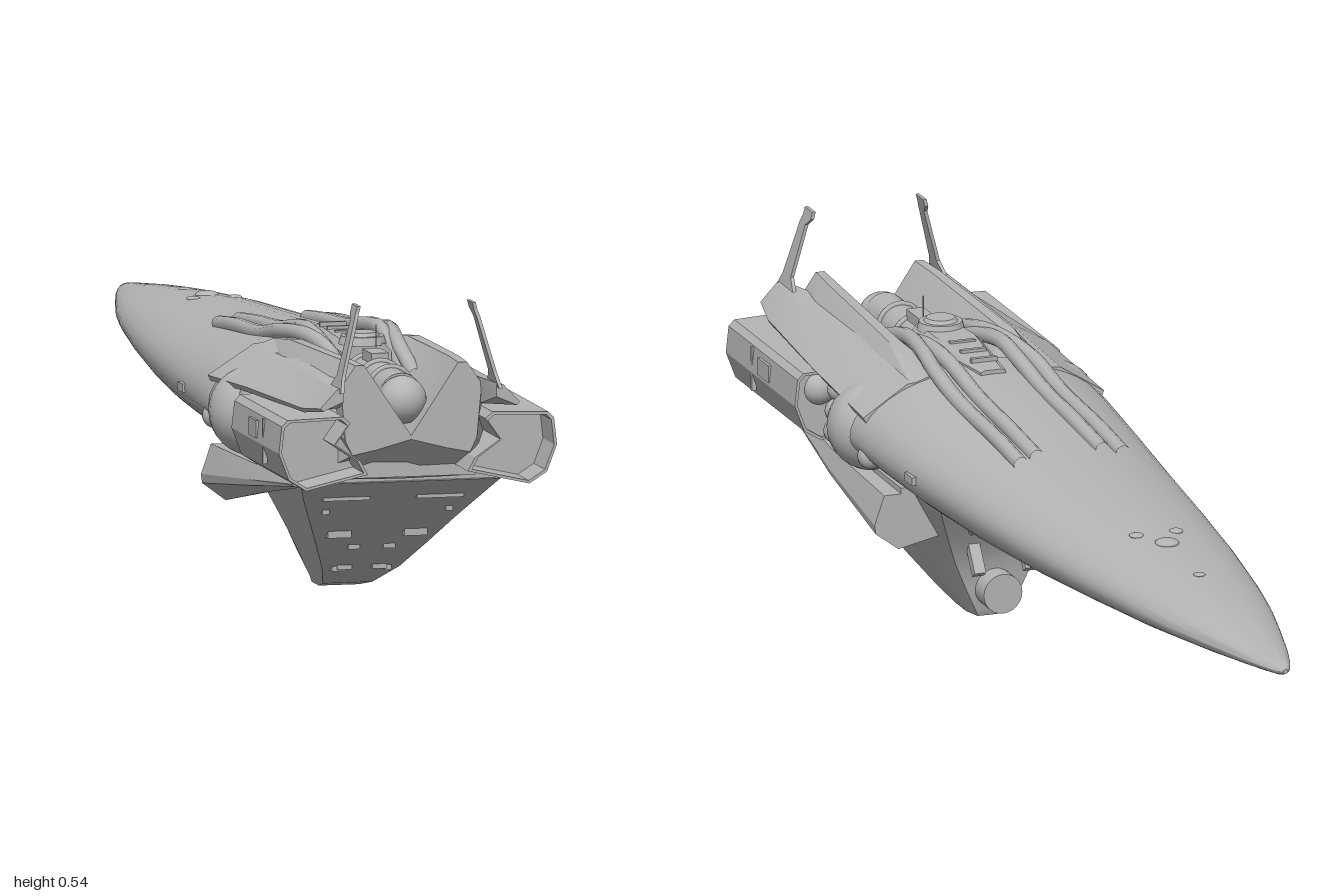
import * as THREE from 'three';
import { toCreasedNormals } from 'three/addons/utils/BufferGeometryUtils.js';

const hullGrey = new THREE.MeshStandardMaterial({ color: 0xb4b4b4 });
hullGrey.name = 'hull grey';

// Skin a stack of counter-clockwise rings {h, pts}; axis 'z' stacks along z, 'y' stacks upward
function loft(rings, axis = 'z', crease = 0.5) {
  const pos = [], n = rings[0].pts.length;
  const put = (r, j) => {
    const [u, v] = r.pts[j % n];
    if (axis === 'z') pos.push(u, v, r.h); else pos.push(u, r.h, -v);
  };
  for (let i = 0; i < rings.length - 1; i++) {
    const a = rings[i], b = rings[i + 1];
    for (let j = 0; j < n; j++) {
      put(a, j); put(a, j + 1); put(b, j + 1);
      put(a, j); put(b, j + 1); put(b, j);
    }
  }
  const cap = (r, flip) => {
    const tris = THREE.ShapeUtils.triangulateShape(r.pts.map(p => new THREE.Vector2(...p)), []);
    for (const t of tris) for (const k of (flip ? [t[0], t[2], t[1]] : t)) put(r, k);
  };
  cap(rings[0], true);
  cap(rings[rings.length - 1], false);
  const g = new THREE.BufferGeometry();
  g.setAttribute('position', new THREE.Float32BufferAttribute(pos, 3));
  return toCreasedNormals(g, crease);
}

// Mirror a ring to the other side, keeping its winding
const side = (pts, s) => s > 0 ? pts : pts.map(([x, y]) => [-x, y]).reverse();
// Complete a right half (bottom to top) into a symmetric ring
const whole = half => [...half, ...half.filter(p => p[0] > 0).map(([x, y]) => [-x, y]).reverse()];

function lerpTable(table, t, k) {
  for (let i = 1; i < table.length; i++) {
    const a = table[i - 1], b = table[i];
    if (t <= b[0]) return a[k] + (b[k] - a[k]) * (t - a[0]) / (b[0] - a[0]);
  }
  return table[table.length - 1][k];
}

export function createModel() {
  const root = new THREE.Group();
  const add = (name, geo, x = 0, y = 0, z = 0) => {
    const m = new THREE.Mesh(geo, hullGrey);
    m.name = name;
    m.position.set(x, y, z);
    root.add(m);
    return m;
  };
  const box = (name, w, h, d, x, y, z) => add(name, new THREE.BoxGeometry(w, h, d), x, y, z);
  const ball = (name, r, x, y, z) => add(name, new THREE.SphereGeometry(r, 24, 16), x, y, z);
  const pipe = (name, pts, r) => add(name, new THREE.TubeGeometry(
    new THREE.CatmullRomCurve3(pts.map(p => new THREE.Vector3(...p))), 40, r, 10));

  // Needle hull: z, half width, top, middle, bottom
  const hull = [
    [-1, 0.004, 0.304, 0.3, 0.296], [-0.985, 0.014, 0.309, 0.3, 0.291],
    [-0.95, 0.027, 0.314, 0.3, 0.287], [-0.9, 0.042, 0.32, 0.3, 0.282],
    [-0.8, 0.068, 0.332, 0.3, 0.272], [-0.7, 0.092, 0.342, 0.3, 0.264],
    [-0.6, 0.111, 0.351, 0.3, 0.254], [-0.4, 0.141, 0.366, 0.3, 0.238],
    [-0.2, 0.165, 0.377, 0.3, 0.222], [0, 0.185, 0.388, 0.302, 0.211],
    [0.2, 0.205, 0.403, 0.305, 0.213], [0.35, 0.217, 0.418, 0.307, 0.225],
    [0.44, 0.222, 0.42, 0.308, 0.235]];
  add('needleHull', loft(hull.map(([z, w, top, mid, bot]) => ({
    h: z,
    pts: Array.from({ length: 44 }, (_, i) => {
      const a = i / 44 * Math.PI * 2, s = Math.sin(a);
      return [w * Math.cos(a), mid + s * (s > 0 ? top - mid : mid - bot)];
    })
  })), 'z', 0.6));

  // Rear body with an open trough along the top
  add('rearBody', loft([
    [0.4, [[0, 0.235], [0.1, 0.24], [0.15, 0.255], [0.165, 0.35], [0.13, 0.4], [0.1, 0.41], [0.07, 0.41], [0, 0.39]]],
    [0.55, [[0, 0.235], [0.1, 0.238], [0.15, 0.255], [0.16, 0.355], [0.13, 0.405], [0.11, 0.428], [0.09, 0.428], [0, 0.35]]],
    [0.86, [[0, 0.235], [0.1, 0.237], [0.14, 0.25], [0.14, 0.36], [0.125, 0.405], [0.1, 0.436], [0.083, 0.436], [0, 0.312]]],
    [0.93, [[0, 0.31], [0.06, 0.294], [0.1, 0.286], [0.112, 0.31], [0.12, 0.4], [0.095, 0.436], [0.08, 0.436], [0, 0.31]]]
  ].map(([h, half]) => {
    // a hair of offset keeps the notch point distinct from the belly point
    const p = half.map(q => [...q]);
    if (h === 0.93) p[p.length - 1][1] = 0.316;
    return { h, pts: whole(p) };
  }), 'z', 0.3));
  box('rearBulkhead', 0.24, 0.05, 0.05, 0, 0.267, 0.865);

  // Engine in the trough, with turret dome and tapered cover
  const engine = add('engineBarrel', new THREE.CylinderGeometry(0.036, 0.036, 0.26, 24), 0, 0.375, 0.73);
  engine.rotation.x = Math.PI / 2;
  ball('engineBulb', 0.04, 0, 0.368, 0.87);
  for (const z of [0.64, 0.72, 0.79]) add('engineRing', new THREE.TorusGeometry(0.037, 0.005, 8, 24), 0, 0.375, z);
  add('spineCover', loft([
    { h: 0.355, pts: whole([[0.022, 0.39], [0.022, 0.422], [0.015, 0.425]]) },
    { h: 0.53, pts: whole([[0.045, 0.36], [0.045, 0.42], [0.033, 0.432]]) },
    { h: 0.63, pts: whole([[0.042, 0.36], [0.042, 0.415], [0.03, 0.428]]) }
  ], 'z', 0.3));
  for (const z of [0.4, 0.45, 0.5]) box('coverRib', 0.045, 0.008, 0.008, 0, 0.43, z);
  add('turretRing', new THREE.CylinderGeometry(0.036, 0.04, 0.014, 24), 0, 0.432, 0.6);
  add('turretTop', new THREE.CylinderGeometry(0.024, 0.03, 0.008, 24), 0, 0.441, 0.6);
  box('spineBlock', 0.03, 0.03, 0.06, 0, 0.41, 0.69);
  add('aerial', new THREE.CylinderGeometry(0.001, 0.001, 0.045, 6), 0.008, 0.442, 0.66);

  // Sensor bumps on the nose
  for (const [x, z, r] of [[0, -0.6, 0.01], [0, -0.45, 0.02], [-0.035, -0.4, 0.012], [0.035, -0.4, 0.012]]) {
    const w = lerpTable(hull, z, 1), top = lerpTable(hull, z, 2), mid = lerpTable(hull, z, 3);
    ball('noseSensor', r, x, mid + (top - mid) * Math.sqrt(1 - (x / w) ** 2), z).scale.y = 0.35;
  }

  // Keel: height, half width, rear z, front z
  const keel = [[0, 0.034, 0.44, 0.36], [0.012, 0.042, 0.5, 0.355], [0.05, 0.066, 0.59, 0.35],
    [0.1, 0.095, 0.665, 0.345], [0.15, 0.124, 0.735, 0.32], [0.2, 0.154, 0.81, 0.29], [0.23, 0.17, 0.86, 0.27]];
  add('keel', loft(keel.map(([y, w, zr, zf]) => ({
    h: y,
    pts: [[w, -zr], [w, -(zr * 0.4 + zf * 0.6)], [w * 0.75, -zf], [-w * 0.75, -zf],
      [-w, -(zr * 0.4 + zf * 0.6)], [-w, -zr]]
  })), 'y', 0.45));
  box('keelDeck', 0.33, 0.012, 0.5, 0, 0.234, 0.6);
  const scoop = add('keelNozzle', new THREE.CylinderGeometry(0.034, 0.034, 0.07, 24), 0, 0.05, 0.345);
  scoop.rotation.x = Math.PI / 2;

  // Side pieces, left and right
  for (const s of [1, -1]) {
    // Upper deck shells reaching to the tail
    const deck = (h, p) => ({ h, pts: side(p, s) });
    add('upperDeck', loft([
      deck(0.4, [[0.1, 0.36], [0.208, 0.342], [0.213, 0.352], [0.135, 0.402], [0.1, 0.405]]),
      deck(0.65, [[0.11, 0.36], [0.2, 0.355], [0.208, 0.365], [0.14, 0.405], [0.11, 0.415]]),
      deck(0.92, [[0.12, 0.365], [0.18, 0.36], [0.184, 0.367], [0.14, 0.405], [0.115, 0.41]]),
      deck(0.99, [[0.13, 0.385], [0.165, 0.37], [0.17, 0.375], [0.142, 0.405], [0.13, 0.408]])
    ], 'z', 0.3));

    // Hollow tail nacelles
    const rim = side([[0.085, 0.26], [0.19, 0.236], [0.22, 0.255], [0.237, 0.3], [0.232, 0.345],
      [0.222, 0.355], [0.127, 0.358], [0.115, 0.347], [0.14, 0.312], [0.097, 0.282]], s)
      .map(p => new THREE.Vector2(...p));
    const c = new THREE.Vector2(s * 0.175, 0.298);
    const nacelle = new THREE.Shape(rim);
    const inner = rim.map(p => p.clone().sub(c).multiplyScalar(0.92).add(c));
    nacelle.holes.push(new THREE.Path(inner));
    add('nacelle', new THREE.ExtrudeGeometry(nacelle, { depth: 0.32, bevelEnabled: false }), 0, 0, 0.655);
    const plug = new THREE.ExtrudeGeometry(new THREE.Shape(rim.map(p => p.clone().sub(c).multiplyScalar(0.96).add(c))),
      { depth: 0.24, bevelEnabled: false });
    add('nacelleCore', plug, 0, 0, 0.66);
    box('nacellePanel', 0.006, 0.03, 0.05, s * 0.235, 0.32, 0.8);
    box('nacelleBand', 0.008, 0.075, 0.008, s * 0.232, 0.305, 0.86);

    // Spherical tanks in the flank recess
    for (const [r, x, y, z] of [[0.075, 0.16, 0.305, 0.5], [0.03, 0.19, 0.325, 0.67], [0.022, 0.18, 0.265, 0.61],
      [0.02, 0.185, 0.345, 0.585], [0.022, 0.2, 0.285, 0.4], [0.02, 0.175, 0.265, 0.565], [0.02, 0.18, 0.3, 0.61]])
      ball('tank', r, s * x, y, z);
    box('flankLight', 0.012, 0.014, 0.035, s * 0.204, 0.305, 0.2);

    // Dorsal and ventral pipes
    pipe('outerPipe', [[s * 0.09, 0.378, -0.01], [s * 0.09, 0.39, 0.1], [s * 0.09, 0.402, 0.28], [s * 0.088, 0.422, 0.4],
      [s * 0.075, 0.43, 0.5], [s * 0.062, 0.42, 0.6], [s * 0.06, 0.385, 0.72]], 0.013);
    pipe('innerPipe', [[s * 0.058, 0.384, 0], [s * 0.058, 0.396, 0.12], [s * 0.058, 0.409, 0.28], [s * 0.058, 0.428, 0.4],
      [s * 0.06, 0.433, 0.48], [s * 0.055, 0.41, 0.6], [s * 0.055, 0.37, 0.7]], 0.013);
    pipe('bellyPipe', [[s * 0.06, 0.215, 0.04], [s * 0.06, 0.2, 0.1], [s * 0.06, 0.19, 0.24], [s * 0.05, 0.16, 0.33]], 0.009);
    box('keelStrut', 0.02, 0.06, 0.015, s * 0.045, 0.115, 0.32).rotation.x = 0.6;

    // Tapered pods beside the keel
    add('keelPod', loft([
      { h: 0.35, pts: side([[0.1, 0.15], [0.17, 0.135], [0.21, 0.165], [0.212, 0.18], [0.195, 0.23], [0.1, 0.23]], s) },
      { h: 0.6, pts: side([[0.11, 0.19], [0.168, 0.182], [0.196, 0.195], [0.198, 0.205], [0.188, 0.233], [0.11, 0.233]], s) },
      { h: 0.82, pts: side([[0.14, 0.222], [0.162, 0.22], [0.172, 0.222], [0.175, 0.226], [0.17, 0.235], [0.14, 0.235]], s) }
    ], 'z', 0.3));

    // Ledges on the sloping rear of the keel
    for (const [x, y, w, h] of [[0.065, 0.124, 0.04, 0.015], [0.03, 0.052, 0.025, 0.008], [0.045, 0.05, 0.012, 0.01],
      [0.03, 0.095, 0.02, 0.008], [0.08, 0.197, 0.08, 0.006], [0.105, 0.17, 0.012, 0.008]])
      box('keelLedge', w, h, 0.02, s * x, y, lerpTable(keel, y, 2) - 0.004);

    // Canted tail fins, hooked at the tip
    add('tailFin', loft([[0.135, 0.4, 0.92, 1], [0.129, 0.425, 0.95, 0.985], [0.105, 0.515, 0.945, 0.97],
      [0.101, 0.528, 0.93, 0.965], [0.098, 0.54, 0.93, 0.965]].map(([x, y, z0, z1]) => ({
      h: y,
      pts: [[s * x + 0.003, -z1], [s * x + 0.003, -z0], [s * x - 0.003, -z0], [s * x - 0.003, -z1]]
    })), 'y', 0.3));
  }
  return root;
}
